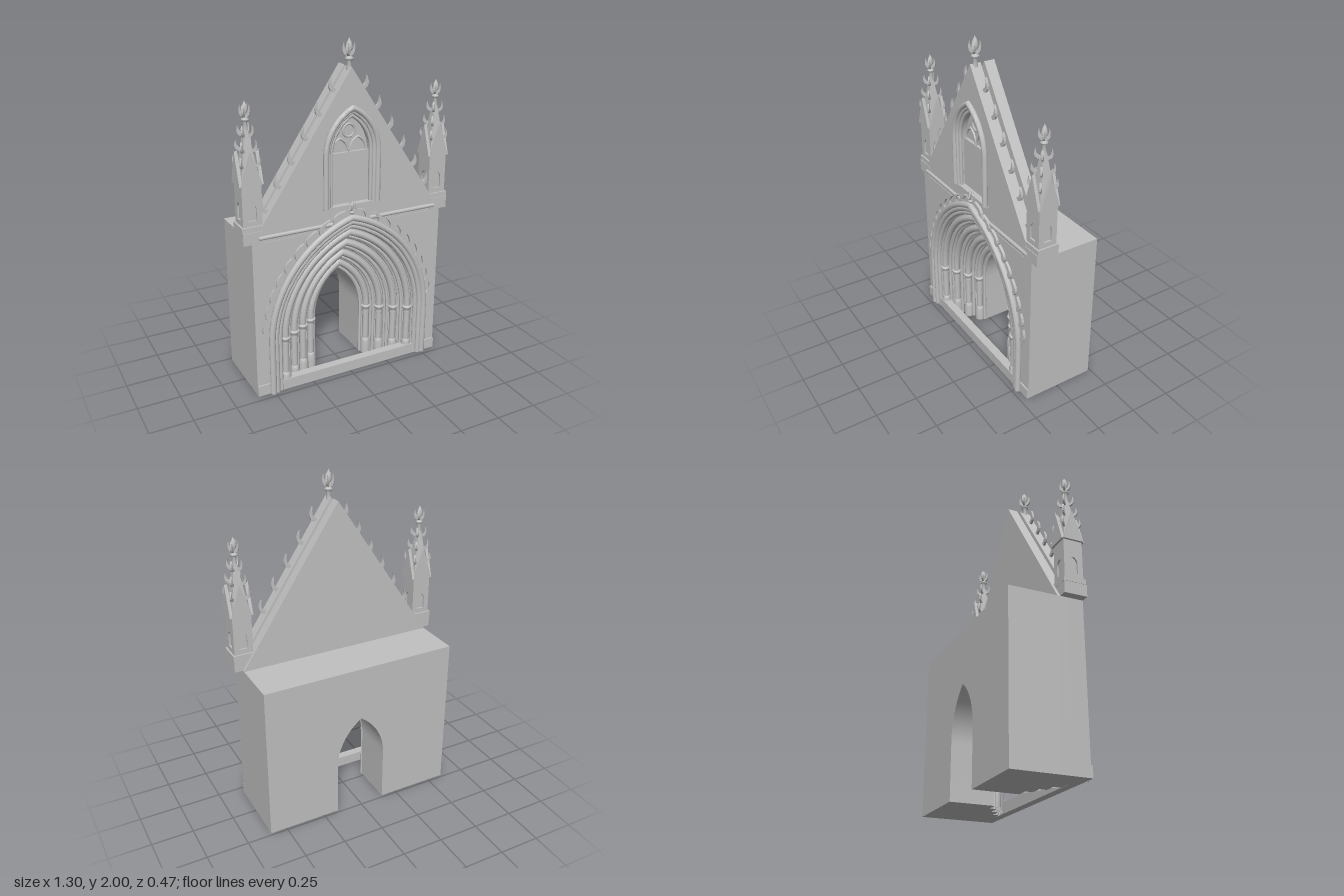
import * as THREE from 'three';
import { toCreasedNormals } from 'three/addons/utils/BufferGeometryUtils.js';

const stone = new THREE.MeshStandardMaterial({ color: 0xc0c0c0 });
stone.name = 'stone grey';

const PORTAL = { y0: 0, spring: 0.33, off: 0.194 };
const WINDOW = { y0: 1.08, spring: 1.38, off: 0.117 };

function add(parent, name, geo, x = 0, y = 0, z = 0) {
  const m = new THREE.Mesh(geo, stone);
  m.name = name;
  m.position.set(x, y, z);
  parent.add(m);
  return m;
}

// box given by its limits
function box(parent, name, x0, x1, y0, y1, z0, z1) {
  return add(parent, name, new THREE.BoxGeometry(x1 - x0, y1 - y0, z1 - z0),
    (x0 + x1) / 2, (y0 + y1) / 2, (z0 + z1) / 2);
}

// point on one half of a two-centred pointed arch, t = 0 springing, 1 apex
function archPoint(arch, d, t) {
  const r = d + arch.off, a = t * Math.acos(arch.off / r);
  return new THREE.Vector2(-arch.off + r * Math.cos(a), arch.spring + r * Math.sin(a));
}

// arch outline, right foot to left foot
function archOutline(arch, d, n = 16) {
  const right = [new THREE.Vector2(d, arch.y0)];
  for (let i = 0; i <= n; i++) right.push(archPoint(arch, d, i / n));
  const left = right.slice(0, -1).reverse().map(p => new THREE.Vector2(-p.x, p.y));
  return [...right, ...left];
}

function slab(parent, name, shape, z0, z1) {
  const g = new THREE.ExtrudeGeometry(shape, { depth: z1 - z0, bevelEnabled: false });
  return add(parent, name, toCreasedNormals(g, 0.5), 0, 0, z0);
}

// sweep a closed cross-section of [distance, z] points round a pointed arch
function archSweep(parent, name, arch, profile, x = 0) {
  const n = 18, w = profile.length, pos = [], idx = [];
  const row = (t, s) => profile.forEach(([d, z]) => {
    const p = t < 0 ? new THREE.Vector2(d, arch.y0) : archPoint(arch, d, t);
    pos.push(s * p.x, p.y, z);
  });
  row(-1, 1);
  for (let i = 0; i <= n; i++) row(i / n, 1);
  for (let i = n - 1; i >= 0; i--) row(i / n, -1);
  row(-1, -1);
  for (let i = 0; i < pos.length / 3 / w - 1; i++)
    for (let j = 0; j < w - 1; j++) {
      const a = i * w + j, b = a + w;
      idx.push(a, b, a + 1, b, b + 1, a + 1);
    }
  const g = new THREE.BufferGeometry();
  g.setAttribute('position', new THREE.Float32BufferAttribute(pos, 3));
  g.setIndex(idx);
  return add(parent, name, toCreasedNormals(g, 0.8), x);
}

function roll(parent, name, arch, d, z, r, x = 0, sides = 10) {
  const ring = [];
  for (let i = 0; i <= sides; i++) {
    const a = i / sides * Math.PI * 2;
    ring.push([d + r * Math.cos(a), z + r * Math.sin(a)]);
  }
  return archSweep(parent, name, arch, ring, x);
}

function lathe(points, sides = 12) {
  return new THREE.LatheGeometry(points.map(p => new THREE.Vector2(...p)), sides);
}

// curled leaf: +x points away from the stone, +y along it
const leafShape = new THREE.Shape();
leafShape.moveTo(-0.008, 0);
leafShape.quadraticCurveTo(0.062, 0.005, 0.032, 0.09);
leafShape.quadraticCurveTo(0.034, 0.03, -0.008, 0.022);
const leafGeo = new THREE.ExtrudeGeometry(leafShape, { depth: 0.014, bevelEnabled: false, curveSegments: 6 });
leafGeo.translate(0, 0, -0.007);

function leaf(parent, name, x, y, z, tilt, yaw, size) {
  const m = add(parent, name, leafGeo, x, y, z);
  m.rotation.set(0, yaw, tilt);
  m.scale.setScalar(size);
}

const finialGeo = lathe([[0.016, -0.02], [0.011, 0.025], [0.023, 0.035], [0.023, 0.044], [0.01, 0.055],
  [0.011, 0.075], [0.022, 0.098], [0.013, 0.125], [0, 0.15]], 8);

function finial(parent, x, y, z, size) {
  const f = new THREE.Group();
  f.name = 'finial';
  add(f, 'finialStem', finialGeo);
  for (let k = 0; k < 4; k++) leaf(f, 'finialLeaf', 0, 0.05, 0, 0, Math.PI / 4 + k * Math.PI / 2, 0.85);
  f.position.set(x, y, z);
  f.scale.setScalar(size);
  parent.add(f);
}

function pinnacle(parent, x, z) {
  const p = new THREE.Group();
  p.name = 'pinnacle';
  p.position.set(x, 0, z);
  parent.add(p);
  box(p, 'pinnaclePlinth', -0.066, 0.066, 1.02, 1.05, -0.066, 0.066);
  box(p, 'pinnacleCore', -0.046, 0.046, 1.05, 1.28, -0.046, 0.046);

  // four faces, each with a lancet niche and a steep gablet
  const face = new THREE.Shape([[-0.056, 1.05], [0.056, 1.05], [0.056, 1.28], [-0.056, 1.28]].map(q => new THREE.Vector2(...q)));
  face.holes.push(new THREE.Path(archOutline({ y0: 1.08, spring: 1.14, off: 0.02 }, 0.024, 6)));
  const gablet = new THREE.Shape([[-0.06, 1.28], [0.06, 1.28], [0, 1.46]].map(q => new THREE.Vector2(...q)));
  for (let k = 0; k < 4; k++) {
    const side = new THREE.Group();
    side.name = 'pinnacleSide';
    side.rotation.y = k * Math.PI / 2;
    p.add(side);
    slab(side, 'nicheFace', face, 0.044, 0.056);
    slab(side, 'gablet', gablet, 0.05, 0.068);
  }

  // spire with crockets on its edges
  const spire = add(p, 'spire', toCreasedNormals(new THREE.ConeGeometry(0.074, 0.36, 4), 0.3), 0, 1.46, 0);
  spire.rotation.y = Math.PI / 4;
  for (let k = 0; k < 4; k++)
    for (const y of [1.37, 1.45, 1.53]) {
      const yaw = Math.PI / 4 + k * Math.PI / 2, r = 0.074 * (1.64 - y) / 0.36;
      leaf(p, 'spireCrocket', r * Math.cos(yaw), y, -r * Math.sin(yaw), 0.1, yaw, 0.7);
    }
  finial(p, 0, 1.585, 0, 0.9);
}

export function createModel() {
  const model = new THREE.Group();
  model.name = 'gothicPortal';

  // wall in layers whose openings widen towards the front
  const widths = [0.155, 0.225, 0.3, 0.375, 0.45];
  const depths = [-0.235, 0.03, 0.0725, 0.115, 0.1575, 0.2];
  widths.forEach((d, i) => {
    const outline = [new THREE.Vector2(-0.6, 0.95), new THREE.Vector2(-0.6, 0),
      ...archOutline(PORTAL, d).reverse(), new THREE.Vector2(0.6, 0), new THREE.Vector2(0.6, 0.95)];
    slab(model, 'wallLayer', new THREE.Shape(outline), depths[i], depths[i + 1]);
  });
  box(model, 'threshold', -0.6, 0.6, 0, 0.065, 0.16, 0.21);

  // shafts continuing into archivolts, with capitals and bases
  const capital = lathe([[0.019, 0], [0.025, 0.004], [0.02, 0.01], [0.022, 0.025], [0.031, 0.036], [0.031, 0.046], [0.019, 0.048]]);
  const base = lathe([[0.03, 0], [0.03, 0.075], [0.024, 0.085], [0.026, 0.092], [0.019, 0.1]]);
  for (let i = 0; i < 4; i++) {
    const d = widths[i], z = depths[i + 1];
    roll(model, 'shaftAndArchivolt', PORTAL, d + 0.036, z + 0.02, 0.02);
    roll(model, 'edgeRoll', PORTAL, d + 0.006, z, 0.01);
    roll(model, 'innerRoll', PORTAL, widths[i + 1] - 0.004, z + 0.026, 0.009);
    for (const s of [-1, 1]) {
      add(model, 'capital', capital, s * (d + 0.036), 0.285, z + 0.02);
      add(model, 'shaftBase', base, s * (d + 0.036), 0, z + 0.02);
    }
  }

  // outer hood mould with leaves along its back
  roll(model, 'hoodInnerRoll', PORTAL, 0.455, 0.2, 0.014);
  roll(model, 'hoodMiddleRoll', PORTAL, 0.481, 0.208, 0.017);
  roll(model, 'hoodOuterRoll', PORTAL, 0.507, 0.214, 0.019);
  const leaves = 9;
  for (let i = 0; i < leaves; i++) {
    const a = 0.06 + i * 0.133, r = 0.52 + PORTAL.off;
    const x = -PORTAL.off + r * Math.cos(a), y = PORTAL.spring + r * Math.sin(a);
    leaf(model, 'hoodCrocket', x, y, 0.207, a, 0, 1.1);
    leaf(model, 'hoodCrocket', -x, y, 0.207, a, Math.PI, 1.1);
  }
  finial(model, 0, 1.01, 0.212, 0.65);

  // twin gable walls, the front one pierced by a blind window
  const gable = () => new THREE.Shape([[-0.6, 0.95], [0.6, 0.95], [0, 1.85]].map(q => new THREE.Vector2(...q)));
  slab(model, 'rearGable', gable(), 0.048, 0.11);
  const front = gable();
  front.holes.push(new THREE.Path(archOutline(WINDOW, 0.12)));
  slab(model, 'frontGable', front, 0.133, 0.197);

  // window frame, panel and tracery
  slab(model, 'windowBack', new THREE.Shape(archOutline(WINDOW, 0.125)), 0.135, 0.16);
  box(model, 'windowPanel', -0.122, 0.122, 1.075, 1.38, 0.14, 0.178);
  box(model, 'windowSill', -0.175, 0.175, 1.072, 1.084, 0.16, 0.215);
  roll(model, 'windowInnerRoll', WINDOW, 0.124, 0.197, 0.011);
  roll(model, 'windowMiddleRoll', WINDOW, 0.143, 0.204, 0.012);
  roll(model, 'windowOuterRoll', WINDOW, 0.162, 0.213, 0.016);
  for (const s of [-1, 1])
    roll(model, 'traceryArch', { y0: 1.37, spring: 1.385, off: 0.03 }, 0.05, 0.167, 0.007, s * 0.056, 6);
  add(model, 'traceryRing', new THREE.TorusGeometry(0.036, 0.007, 6, 20), 0, 1.5, 0.167);

  for (const s of [-1, 1]) {
    // string course either side of the hood
    const bar = add(model, 'stringCourse', new THREE.CylinderGeometry(0.012, 0.012, 0.46, 8), s * 0.33, 0.978, 0.198);
    bar.rotation.z = Math.PI / 2;

    // crockets climbing the gable
    for (let i = 0; i < 6; i++) {
      const x = 0.09 + i * 0.082;
      leaf(model, 'gableCrocket', s * x, 1.85 - 1.5 * x, 0.162, 0.2, s > 0 ? 0 : Math.PI, 0.95);
    }

    // corner pinnacles
    box(model, 'cornerBlock', s * 0.59 - 0.058, s * 0.59 + 0.058, 0.95, 1.02, 0.065, 0.2);
    pinnacle(model, s * 0.584, 0.13);
  }
  finial(model, 0, 1.85, 0.165, 1);
  return model;
}
